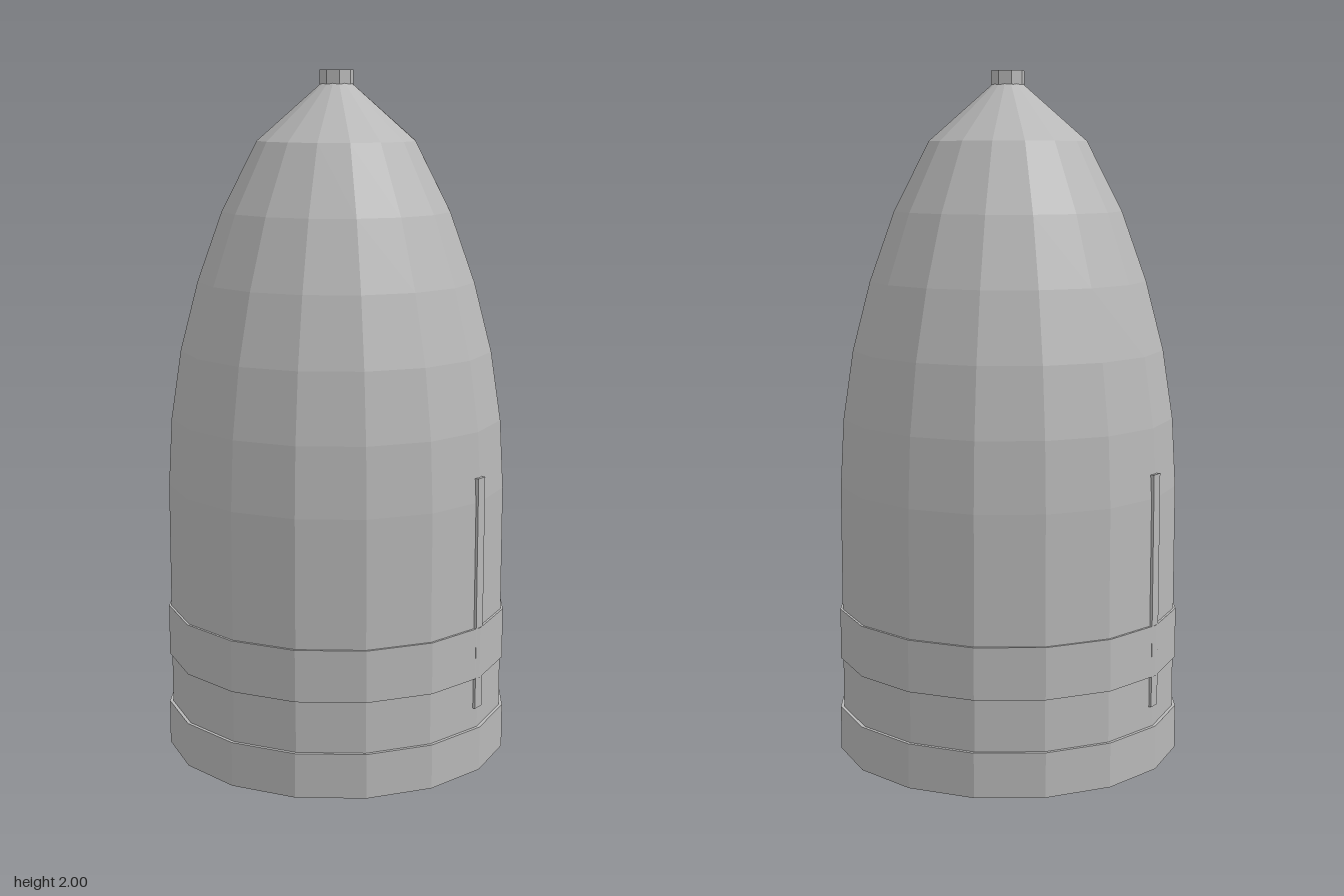
import * as THREE from 'three';

const SIDES = 16;

export function createModel() {
  const model = new THREE.Group();
  model.name = 'ogiveShell';
  const grey = new THREE.MeshStandardMaterial({ color: 0xb8b8b8, flatShading: true });
  grey.name = 'grey';

  const add = (name, geometry, x = 0, y = 0, z = 0) => {
    const mesh = new THREE.Mesh(geometry, grey);
    mesh.name = name;
    mesh.position.set(x, y, z);
    model.add(mesh);
    return mesh;
  };
  const lathe = (profile) =>
    new THREE.LatheGeometry(profile.map(([r, y]) => new THREE.Vector2(r, y)), SIDES);

  // Hollow collar: inner wall, bottom rim, outer wall, top ledge
  const collar = (inner, outer, low, high) =>
    lathe([[inner, high], [inner, low], [outer, low], [outer, high], [inner, high]]);

  // Curved nose body, closed by a floor recessed inside the base ring
  add('noseBody', lathe([
    [0, 0.125], [0.5, 0.125], [0.5, 0.8], [0.489, 1.0], [0.459, 1.2],
    [0.407, 1.4], [0.335, 1.6], [0.232, 1.8], [0.03, 1.975],
  ]));

  add('baseRing', collar(0.494, 0.51, 0, 0.13));
  add('middleBand', collar(0.49, 0.507, 0.28, 0.43));

  // Small cap on the tip
  add('tipCap', new THREE.CylinderGeometry(0.049, 0.049, 0.04, 8), 0, 1.98, 0);

  // Raised seam strip on each side
  for (const [name, side] of [['leftSeam', 1], ['rightSeam', -1]]) {
    add(name, new THREE.BoxGeometry(0.02, 0.68, 0.036), side * 0.494, 0.53, 0);
  }

  return model;
}
